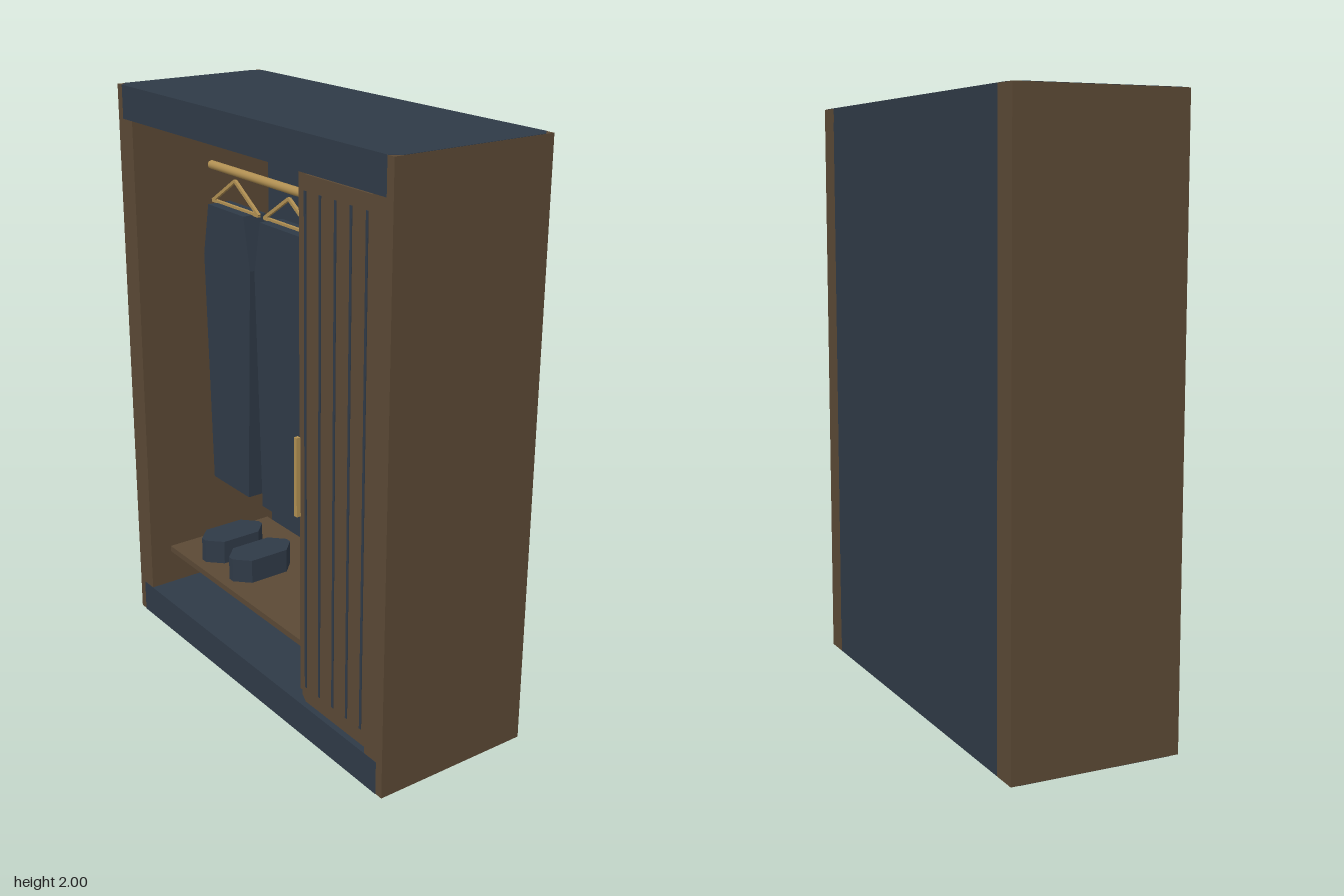
import * as THREE from 'three';

export function createModel() {
  const model = new THREE.Group();
  model.name = 'wardrobe';
  const material = (name, color) => {
    const m = new THREE.MeshStandardMaterial({ color });
    m.name = name;
    return m;
  };
  const navy = material('navy', 0x2f3a47);
  const walnut = material('walnut', 0x5b4935);
  const brass = material('brass', 0xb08f52);

  const add = (name, geometry, mat, parent = model) => {
    const mesh = new THREE.Mesh(geometry, mat);
    mesh.name = name;
    parent.add(mesh);
    return mesh;
  };
  // Box given by its extents on each axis
  const box = (name, mat, [x0, x1], [y0, y1], [z0, z1], parent) => {
    const mesh = add(name, new THREE.BoxGeometry(x1 - x0, y1 - y0, z1 - z0), mat, parent);
    mesh.position.set((x0 + x1) / 2, (y0 + y1) / 2, (z0 + z1) / 2);
    return mesh;
  };
  // Straight-sided prism from an outline
  const prism = (points, depth) => new THREE.ExtrudeGeometry(
    new THREE.Shape(points.map(([x, y]) => new THREE.Vector2(x, y))),
    { depth, bevelEnabled: false });
  // Rectangle outline with cut corners
  const cutRect = (x0, x1, y0, y1, c) => [
    [x0 + c, y0], [x1 - c, y0], [x1, y0 + c], [x1, y1 - c],
    [x1 - c, y1], [x0 + c, y1], [x0, y1 - c], [x0, y0 + c]];

  // Carcass: sides, back and divider
  for (const [name, s] of [['leftSide', 1], ['rightSide', -1]]) {
    const xs = [s * 0.66, s * 0.75].sort((a, b) => a - b);
    box(name, walnut, xs, [0.001, 1.999], [-0.3, 0.273]);
  }
  box('backPanel', navy, [-0.66, 0.66], [0.05, 1.95], [-0.3, -0.275]);
  box('divider', walnut, [0.24, 0.288], [0.11, 1.89], [-0.275, 0.22]);

  // Base and top slabs with cut corners, slightly proud of the front
  for (const [name, y0, y1] of [['base', 0, 0.117], ['top', 1.886, 2]]) {
    const slab = add(name, prism(cutRect(-0.749, 0.749, -0.274, 0.299, 0.03), y1 - y0), navy);
    slab.rotation.x = -Math.PI / 2;
    slab.position.y = y0;
  }

  // Door with five dark grooves and a bar handle
  const door = new THREE.Group();
  door.name = 'door';
  model.add(door);
  add('doorPanel', prism(cutRect(0.31, 0.68, 0.125, 1.878, 0.018), 0.025), walnut, door)
    .position.z = 0.235;
  for (let i = 0; i < 5; i++) {
    const x = 0.33 + i * 0.073;
    box('groove', navy, [x - 0.005, x + 0.005], [0.18, 1.83], [0.257, 0.262], door);
  }
  box('handle', brass, [0.324, 0.338], [0.81, 1.075], [0.285, 0.3], door);

  // Shelf, hanging rail and light strip
  box('shelf', walnut, [-0.64, 0.215], [0.258, 0.28], [-0.24, 0.2]);
  const rail = add('hangingRail', new THREE.CylinderGeometry(0.015, 0.015, 0.83, 16), brass);
  rail.rotation.z = Math.PI / 2;
  rail.position.set(-0.207, 1.712, -0.012);
  box('lightStrip', brass, [-0.625, 0.207], [1.847, 1.859], [0.14, 0.16]);

  // Hanger bar between two points
  const bar = (a, b, parent) => {
    const length = Math.hypot(b[0] - a[0], b[1] - a[1]);
    const mesh = add('hangerBar', new THREE.BoxGeometry(length, 0.011, 0.011), brass, parent);
    mesh.position.set((a[0] + b[0]) / 2, (a[1] + b[1]) / 2, -0.012);
    mesh.rotation.z = Math.atan2(b[1] - a[1], b[0] - a[0]);
  };

  // Two garments on triangular hangers
  for (const x of [-0.47, -0.146]) {
    const outfit = new THREE.Group();
    outfit.name = 'hangingGarment';
    outfit.position.x = x;
    model.add(outfit);
    const left = [-0.145, 1.587], right = [0.145, 1.587], peak = [0, 1.68];
    bar(left, right, outfit);
    bar(left, peak, outfit);
    bar(peak, right, outfit);
    add('garment', prism([[-0.117, 0.545], [0.117, 0.545], [0.148, 1.4],
      [0.112, 1.584], [-0.112, 1.584], [-0.148, 1.4]], 0.09), navy, outfit)
      .position.z = -0.06;
  }

  // Pair of shoes on the shelf
  for (const x of [-0.463, -0.278]) {
    const shoe = add('shoe', prism([[-0.012, -0.16], [0.012, -0.16], [0.062, -0.11],
      [0.062, 0.04], [0.012, 0.09], [-0.012, 0.09], [-0.062, 0.04], [-0.062, -0.11]], 0.088), navy);
    shoe.rotation.x = -Math.PI / 2;
    shoe.position.set(x, 0.28, 0);
  }
  return model;
}
